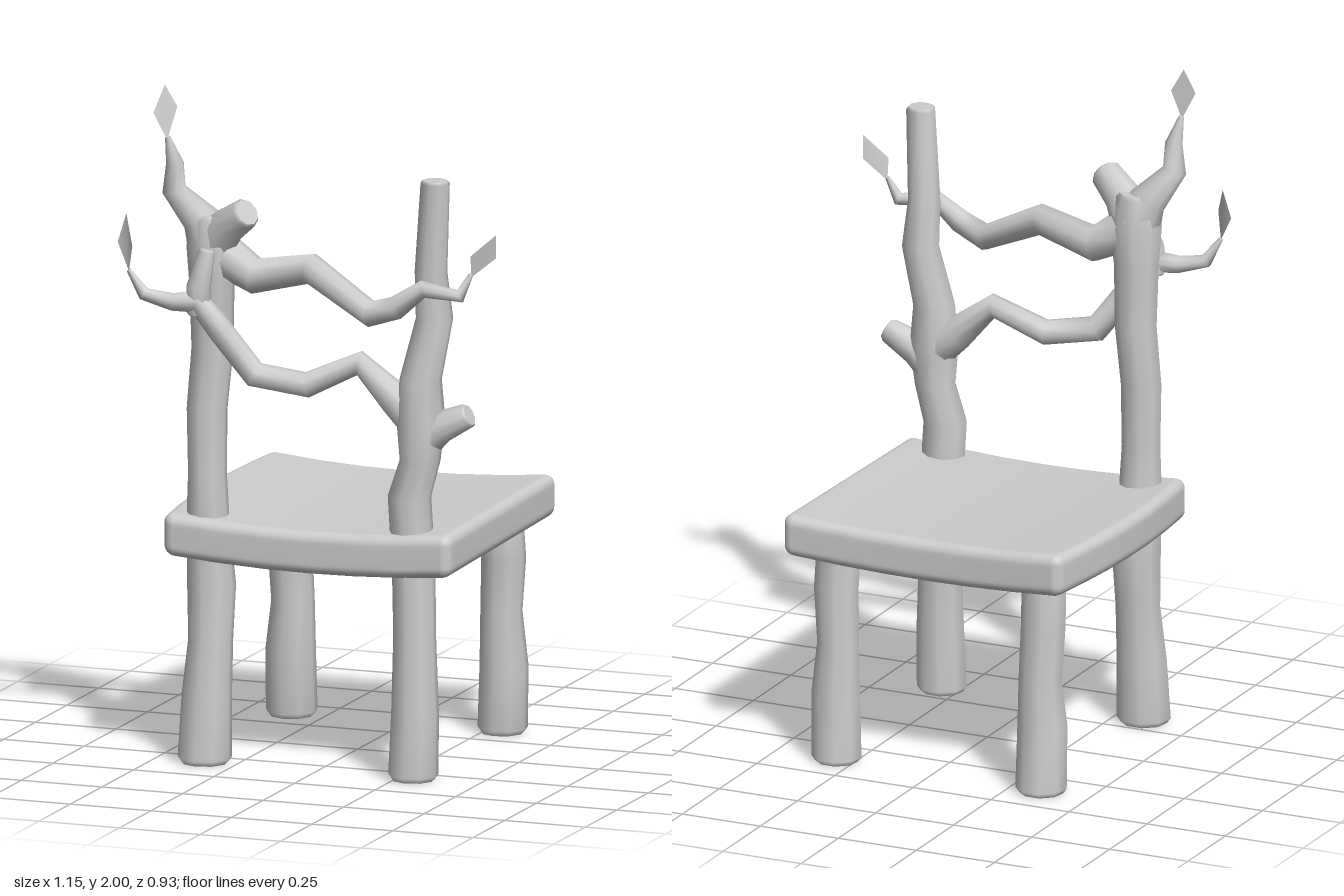
import * as THREE from 'three';
import { mergeVertices } from 'three/addons/utils/BufferGeometryUtils.js';

const V = (x, y, z) => new THREE.Vector3(x, y, z);

// Branch swept through rows of [x, y, z, radius]; level keeps the rings horizontal.
function limbGeometry(rows, level = false, sides = 9) {
  const pts = rows.map(r => V(r[0], r[1], r[2]));
  const last = pts.length - 1;
  const rings = [];
  let n = V(1, 0, 0.2);
  pts.forEach((p, i) => {
    const t = V(0, 1, 0);
    if (!level) {
      t.set(0, 0, 0);
      if (i > 0) t.add(p.clone().sub(pts[i - 1]).normalize());
      if (i < last) t.add(pts[i + 1].clone().sub(p).normalize());
      t.normalize();
      if (i === 0 && Math.abs(t.x) > 0.8) n.set(0, 1, 0.2);
    }
    n = n.clone().addScaledVector(t, -n.dot(t)).normalize();
    const b = t.clone().cross(n);
    const ring = (c, r) => {
      const out = [];
      for (let j = 0; j < sides; j++) {
        const a = j / sides * Math.PI * 2;
        out.push(c.clone().addScaledVector(n, Math.cos(a) * r).addScaledVector(b, Math.sin(a) * r));
      }
      rings.push(out);
    };
    const r = rows[i][3], bevel = r * 0.2;
    // Small bevels soften both cut ends
    if (i === 0) { ring(p, r * 0.85); ring(p.clone().addScaledVector(t, bevel), r); }
    else if (i === last) { ring(p.clone().addScaledVector(t, -bevel), r); ring(p, r * 0.85); }
    else ring(p, r);
  });
  const pos = [], idx = [];
  rings.forEach(ring => ring.forEach(v => pos.push(v.x, v.y, v.z)));
  for (let i = 0; i < rings.length - 1; i++) {
    for (let j = 0; j < sides; j++) {
      const a = i * sides + j, b = i * sides + (j + 1) % sides;
      idx.push(a, b, b + sides, a, b + sides, a + sides);
    }
  }
  // Flat caps with their own vertices
  [[rings[0], pts[0], true], [rings[rings.length - 1], pts[last], false]].forEach(([ring, c, flip]) => {
    const base = pos.length / 3;
    [c, ...ring].forEach(v => pos.push(v.x, v.y, v.z));
    for (let j = 0; j < sides; j++) {
      const a = base + 1 + j, b = base + 1 + (j + 1) % sides;
      if (flip) idx.push(base, b, a); else idx.push(base, a, b);
    }
  });
  const g = new THREE.BufferGeometry();
  g.setAttribute('position', new THREE.Float32BufferAttribute(pos, 3));
  g.setIndex(idx);
  g.computeVertexNormals();
  return g;
}

// Rounded slab with a dished top and slightly bowed edges
function seatGeometry() {
  const N = 12, r = 0.03, half = [0.445, 0.063, 0.43];
  let g = new THREE.BoxGeometry(1, 1, 1, N, N, N);
  g.deleteAttribute('uv');
  g.deleteAttribute('normal');
  g = mergeVertices(g);
  const p = g.attributes.position;
  const place = (t, h) => {
    const k = Math.round((t + 0.5) * N), m = Math.min(k, N - k), s = k < N / 2 ? -1 : 1;
    if (m < 3) return s * (h - r * [0, 0.4, 0.75][m]);
    return (k - N / 2) / (N / 2 - 3) * (h - r);
  };
  for (let i = 0; i < p.count; i++) {
    const v = V(place(p.getX(i), half[0]), place(p.getY(i), half[1]), place(p.getZ(i), half[2]));
    const inner = V(...['x', 'y', 'z'].map((a, k) => THREE.MathUtils.clamp(v[a], r - half[k], half[k] - r)));
    v.sub(inner).setLength(r).add(inner);
    const u = v.x / half[0], w = v.z / half[2];
    const leftBow = u < 0 ? u * 0.03 * (1 - w * w) : 0;
    const backBow = w < 0 ? -w * 0.015 * (1 - u * u) : 0;
    p.setXYZ(i, v.x - 0.007 + leftBow,
      v.y + 0.665 + 0.022 * u * u - 0.009 * w, v.z - 0.036 + backBow);
  }
  g.computeVertexNormals();
  return g;
}

// Flat four-cornered leaf
function leafGeometry(corners) {
  const g = new THREE.BufferGeometry();
  g.setAttribute('position', new THREE.Float32BufferAttribute(corners.flat(), 3));
  g.setIndex([0, 1, 2, 0, 2, 3]);
  g.computeVertexNormals();
  return g;
}

export function createModel() {
  const model = new THREE.Group();
  const wood = new THREE.MeshStandardMaterial({ color: 0xcccccc, side: THREE.DoubleSide });
  wood.name = 'paleGrey';
  const add = (name, geometry) => {
    const mesh = new THREE.Mesh(geometry, wood);
    mesh.name = name;
    model.add(mesh);
  };

  add('seat', seatGeometry());

  // Tall posts that also serve as front legs
  add('rightPost', limbGeometry([
    [-0.347, 0, 0.325, 0.08], [-0.345, 0.2, 0.315, 0.074], [-0.335, 0.36, 0.31, 0.066],
    [-0.34, 0.52, 0.29, 0.072], [-0.345, 0.7, 0.305, 0.064], [-0.345, 0.85, 0.31, 0.057],
    [-0.35, 1.04, 0.3, 0.06], [-0.335, 1.22, 0.295, 0.062], [-0.335, 1.4, 0.3, 0.066],
    [-0.33, 1.52, 0.305, 0.078], [-0.335, 1.62, 0.305, 0.062]], true));
  add('leftPost', limbGeometry([
    [0.3, 0, 0.325, 0.074], [0.305, 0.2, 0.325, 0.07], [0.3, 0.42, 0.315, 0.063],
    [0.295, 0.62, 0.31, 0.064], [0.28, 0.83, 0.305, 0.064], [0.315, 0.94, 0.31, 0.06],
    [0.315, 1.06, 0.305, 0.072], [0.315, 1.18, 0.305, 0.062], [0.352, 1.36, 0.29, 0.055],
    [0.345, 1.5, 0.3, 0.048], [0.365, 1.775, 0.318, 0.043]], true));

  // Short rear legs
  add('rightBackLeg', limbGeometry([
    [-0.35, 0, -0.37, 0.076], [-0.345, 0.2, -0.35, 0.074], [-0.34, 0.34, -0.355, 0.064],
    [-0.345, 0.5, -0.345, 0.066], [-0.345, 0.65, -0.34, 0.066]], true));
  add('leftBackLeg', limbGeometry([
    [0.305, 0, -0.37, 0.074], [0.315, 0.2, -0.355, 0.072], [0.305, 0.36, -0.36, 0.062],
    [0.318, 0.52, -0.345, 0.066], [0.31, 0.65, -0.345, 0.066]], true));

  // Fork and cut stubs on the posts
  add('topTwig', limbGeometry([
    [-0.33, 1.5, 0.305, 0.07], [-0.365, 1.6, 0.31, 0.056], [-0.435, 1.69, 0.345, 0.036],
    [-0.43, 1.77, 0.35, 0.026], [-0.447, 1.85, 0.365, 0.008]]));
  add('topStub', limbGeometry([
    [-0.34, 1.5, 0.3, 0.07], [-0.28, 1.59, 0.325, 0.055], [-0.2, 1.645, 0.365, 0.046]]));
  add('leftPostStub', limbGeometry([
    [0.3, 0.98, 0.305, 0.06], [0.37, 1.04, 0.3, 0.05], [0.465, 1.085, 0.3, 0.037]]));

  // Winding rails of the backrest
  add('upperRail', limbGeometry([
    [-0.35, 1.53, 0.3, 0.07], [-0.2, 1.445, 0.3, 0.054], [-0.02, 1.485, 0.322, 0.046],
    [0.19, 1.38, 0.385, 0.039], [0.28, 1.41, 0.405, 0.035], [0.36, 1.47, 0.4, 0.026],
    [0.47, 1.455, 0.387, 0.02], [0.5, 1.52, 0.375, 0.007]]));
  add('lowerRail', limbGeometry([
    [0.33, 1.04, 0.305, 0.065], [0.235, 1.11, 0.295, 0.05], [0.12, 1.21, 0.29, 0.036],
    [-0.03, 1.14, 0.325, 0.038], [-0.18, 1.165, 0.355, 0.039], [-0.275, 1.29, 0.38, 0.038],
    [-0.34, 1.38, 0.405, 0.036], [-0.41, 1.375, 0.42, 0.026],
    [-0.495, 1.395, 0.43, 0.02], [-0.537, 1.465, 0.443, 0.007]]));
  add('lowerRailStub', limbGeometry([
    [-0.34, 1.34, 0.395, 0.035], [-0.335, 1.42, 0.405, 0.036], [-0.315, 1.53, 0.39, 0.024]]));

  // Single leaves at the twig tips
  add('topLeaf', leafGeometry([
    [-0.447, 1.84, 0.367], [-0.428, 1.935, 0.335], [-0.462, 2, 0.348], [-0.485, 1.92, 0.38]]));
  add('leftLeaf', leafGeometry([
    [0.5, 1.51, 0.375], [0.572, 1.57, 0.362], [0.575, 1.64, 0.37], [0.502, 1.575, 0.388]]));
  add('rightLeaf', leafGeometry([
    [-0.535, 1.46, 0.445], [-0.517, 1.54, 0.465], [-0.555, 1.625, 0.415], [-0.58, 1.54, 0.42]]));

  return model;
}
